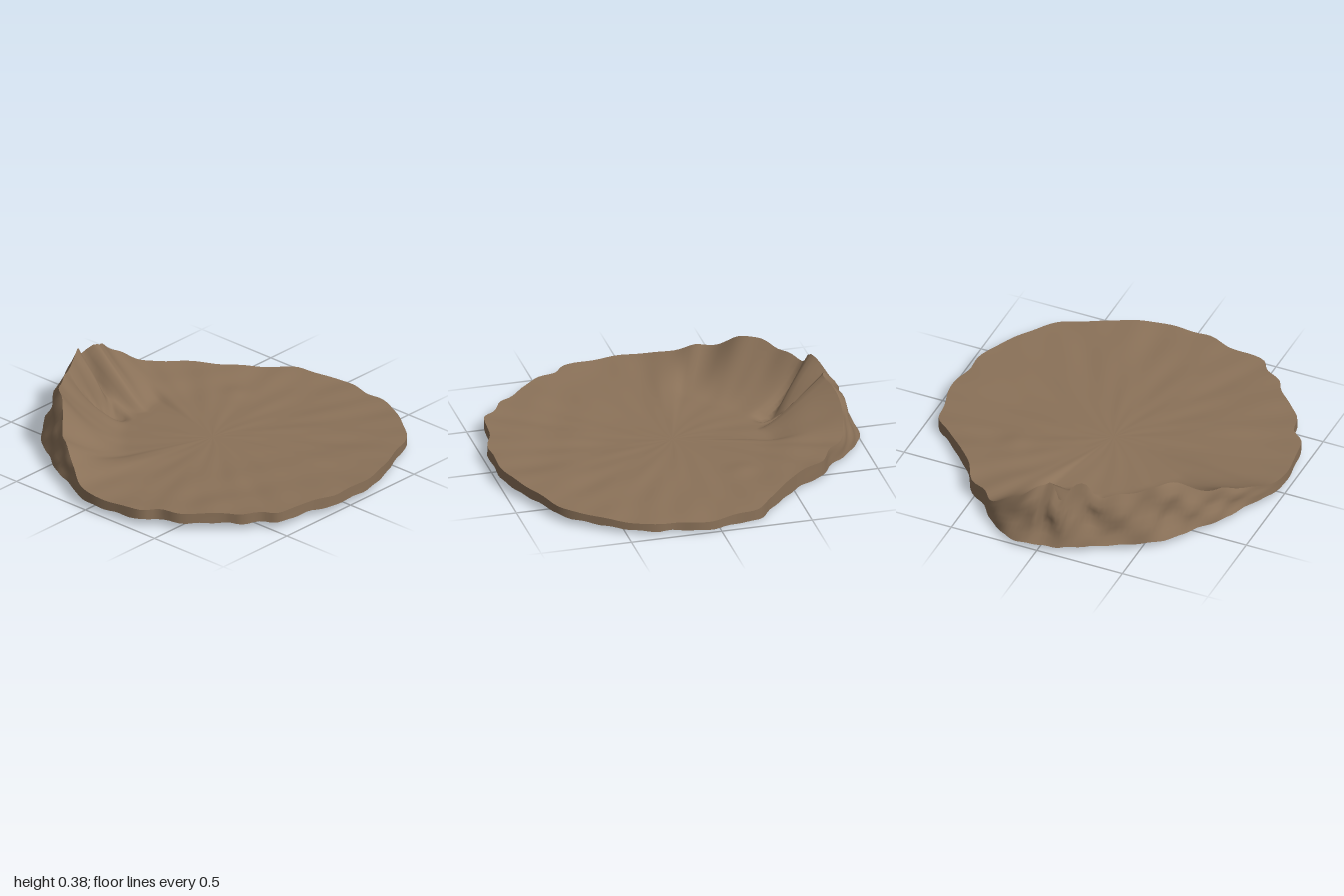
import * as THREE from 'three';

// Base outline, clockwise from the back: x, z, height of the rim above it
const RIM = [
  0.03, -1.0, 0.325, 0.14, -1.0, 0.265, 0.25, -0.94, 0.19, 0.35, -0.85, 0.12, 0.42, -0.76, 0.11,
  0.52, -0.69, 0.1, 0.6, -0.55, 0.1, 0.7, -0.44, 0.09, 0.82, -0.32, 0.075, 0.92, -0.23, 0.07,
  0.94, -0.11, 0.065, 0.98, 0.04, 0.06, 0.98, 0.12, 0.06, 0.95, 0.24, 0.063, 0.95, 0.35, 0.065,
  0.89, 0.5, 0.07, 0.79, 0.65, 0.08, 0.67, 0.79, 0.085, 0.53, 0.85, 0.09, 0.33, 0.94, 0.1,
  0.14, 0.99, 0.1, -0.02, 0.985, 0.1, -0.12, 0.99, 0.1, -0.25, 0.94, 0.1, -0.47, 0.91, 0.1,
  -0.52, 0.84, 0.1, -0.62, 0.78, 0.1, -0.66, 0.71, 0.1, -0.76, 0.61, 0.1, -0.84, 0.52, 0.1,
  -0.87, 0.41, 0.1, -0.94, 0.35, 0.1, -0.97, 0.19, 0.095, -0.985, 0.05, 0.097, -0.96, -0.08, 0.11,
  -0.89, -0.21, 0.145, -0.83, -0.35, 0.205, -0.8, -0.41, 0.215, -0.71, -0.53, 0.275,
  -0.655, -0.625, 0.34, -0.58, -0.71, 0.325, -0.44, -0.8, 0.315, -0.31, -0.87, 0.3,
  -0.22, -0.92, 0.37, -0.15, -0.955, 0.355, -0.1, -0.98, 0.29, -0.03, -0.99, 0.335,
];
const N = 192;

const clamp = (v) => Math.min(1, Math.max(0, v));
const bell = (d, w) => Math.exp(-((d / w) ** 2));
const { lerp } = THREE.MathUtils;

// Distance from (x, z) to the segment a-b
function segDist(x, z, [ax, az], [bx, bz]) {
  const dx = bx - ax, dz = bz - az;
  const t = clamp(((x - ax) * dx + (z - az) * dz) / (dx * dx + dz * dz));
  return Math.hypot(x - ax - dx * t, z - az - dz * t);
}

// Gentle flowing ripples
function ripple(x, z) {
  const a = Math.atan2(z, x), r = Math.hypot(x, z);
  return r * (Math.sin(a * 9 + 6 * r) * 0.4 + Math.sin(a * 17 - 9 * r + 1) * 0.35
    + Math.sin(9 * x - 8 * z + 2 * Math.sin(6 * z)) * 0.5);
}

// Surface through closed rows of points
function loft(rows) {
  const pos = rows.flat().flatMap((p) => [p.x, p.y, p.z]);
  const index = [];
  for (let i = 0; i < rows.length - 1; i++) {
    for (let j = 0; j < N; j++) {
      const k = (j + 1) % N;
      const a = i * N + j, b = i * N + k, c = a + N, d = b + N;
      index.push(a, b, d, a, d, c);
    }
  }
  const g = new THREE.BufferGeometry();
  g.setAttribute('position', new THREE.Float32BufferAttribute(pos, 3));
  g.setIndex(index);
  g.computeVertexNormals();
  return g;
}

export function createModel() {
  const earth = new THREE.MeshStandardMaterial({ color: 0x8b7259 });
  earth.name = 'earth brown';
  const dark = new THREE.MeshStandardMaterial({ color: 0x020202 });
  dark.name = 'underside black';

  const pts = [];
  for (let i = 0; i < RIM.length; i += 3) pts.push(new THREE.Vector3(RIM[i], RIM[i + 2], RIM[i + 1]));
  const curve = new THREE.CatmullRomCurve3(pts, true, 'centripetal');
  const outline = curve.getSpacedPoints(N).slice(0, N);

  // Crest leans inward where the rim is high, most on the lump behind the notch
  const crest = outline.map((p, j) => {
    const high = Math.max(0, p.y - 0.1);
    const lean = p.z < 0 ? lerp(0.42, 0.7, clamp((p.x + 0.12) / 0.12)) : 0.42;
    const s = 1 - (lean * high) / Math.hypot(p.x, p.z);
    const y = p.y + (0.002 + 0.03 * high) * Math.sin(j * 0.9);
    return new THREE.Vector3(p.x * s, y, p.z * s);
  });
  const base = outline.map((p, j) => new THREE.Vector3(p.x,
    0.026 - 0.016 * p.x + 0.012 * p.z * p.z + 0.03 * Math.max(0, p.x) * p.z
      + 0.003 * Math.sin(j * 1.3), p.z));

  // Ground: shallow bowl, steep hill at the back cut by two gullies meeting in a pit
  const foot = [-0.14, -0.55];
  const RINGS = 36;
  const ground = [];
  for (let i = 0; i <= RINGS; i++) {
    const t = i / RINGS;
    ground.push(crest.map((c) => {
      const x = c.x * t, z = c.z * t;
      const high = Math.max(0, c.y - 0.12);
      const pit = Math.hypot(x - foot[0], z - foot[1]);
      const floor = 0.072 - 0.018 * bell(pit, 0.3) - 0.02 * bell(pit, 0.05);
      const u = clamp((t - 0.58) / 0.42);
      const steep = lerp(1.7, 1.2, clamp((x + 0.15) / 0.15));
      const weight = lerp(t * t, Math.pow(u, steep), clamp(high / 0.07));
      let y = lerp(floor, c.y, weight);
      const fade = 4 * u * (1 - u);
      const cut = bell(segDist(x, z, foot, [-0.27, -0.8]), 0.035)
        + 0.8 * bell(segDist(x, z, foot, [-0.07, -0.84]), 0.03);
      y -= 0.06 * cut * fade * clamp(high / 0.1);
      y += ripple(x, z) * (0.007 + 0.05 * high * fade) * (1 - t ** 8);
      y += 0.01 * bell(x - 0.46, 0.07) * bell(z + 0.26, 0.08);
      return new THREE.Vector3(x, Math.max(y, 0.033), z);
    }));
  }

  // Outer bank: rough convex slope from crest to base
  const BANDS = 6;
  const bank = [];
  for (let i = 0; i <= BANDS; i++) {
    const t = i / BANDS;
    bank.push(crest.map((c, j) => {
      const b = base[j];
      const out = Math.pow(t, 0.6);
      const rough = 1 + Math.sin(Math.PI * t) * Math.max(0, c.y - 0.1)
        * (0.09 * Math.sin(j * 0.5 + i * 0.8) + 0.06 * Math.sin(j * 0.85 - i * 1.3) - 0.08);
      return new THREE.Vector3(lerp(c.x, b.x, out) * rough, lerp(c.y, b.y, t), lerp(c.z, b.z, out) * rough);
    }));
  }

  // Underside: hollow skin just inside the bank and beneath the ground
  const inner = bank.map((row) => row.map((p) =>
    new THREE.Vector3(p.x * 0.993, p.y - 0.012 * clamp((p.y - 0.04) / 0.05), p.z * 0.993)));
  const below = ground.slice(0, -1).map((row) => row.map((p) =>
    new THREE.Vector3(p.x * 0.993, p.y - 0.012, p.z * 0.993)));
  const under = [base, ...inner.reverse(), ...below.reverse()];

  const group = new THREE.Group();
  group.name = 'rockyGround';
  const add = (name, rows, material) => {
    const mesh = new THREE.Mesh(loft(rows), material);
    mesh.name = name;
    group.add(mesh);
  };
  add('groundSurface', ground, earth);
  add('outerBank', bank, earth);
  add('underside', under, dark);
  return group;
}
